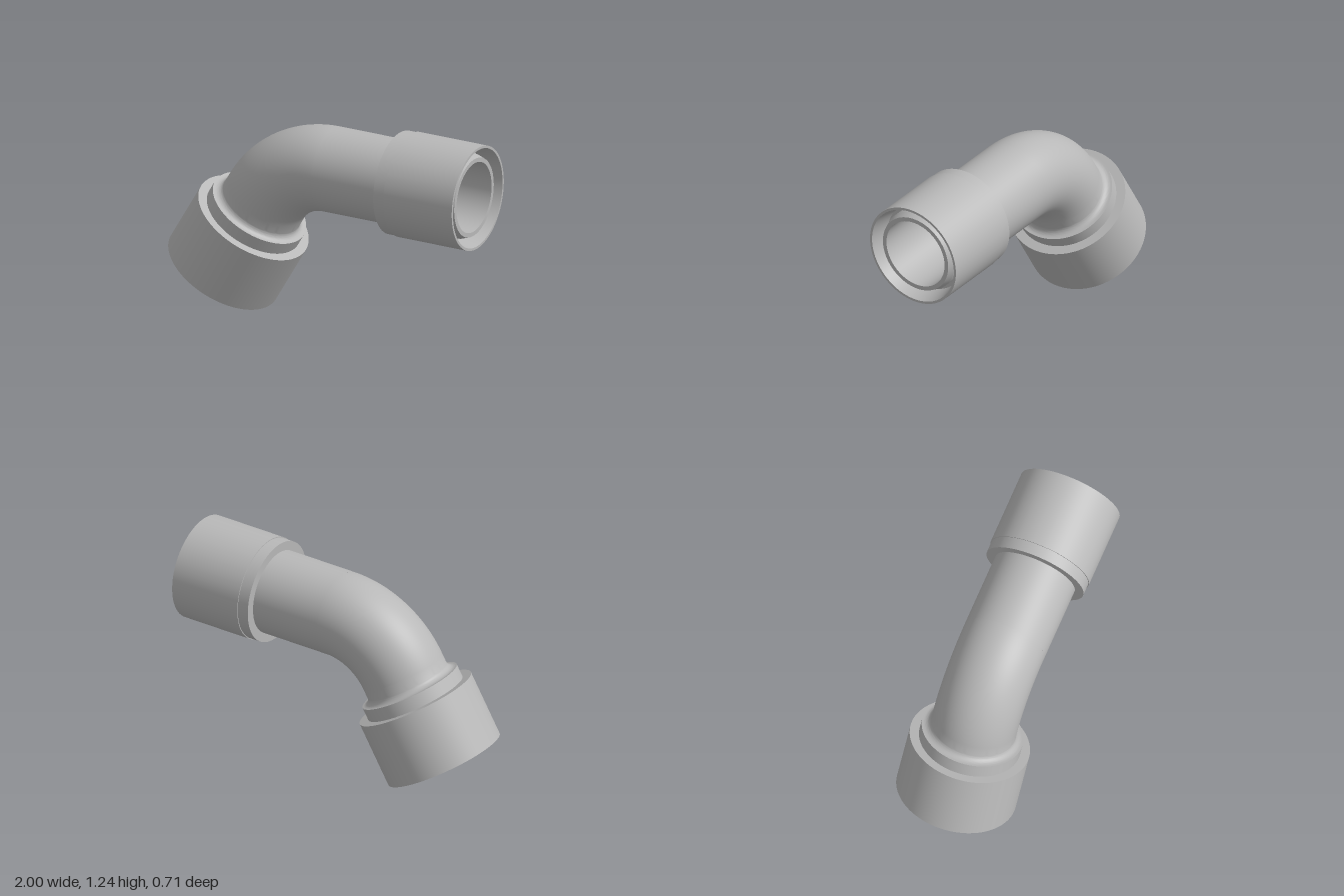
import * as THREE from 'three';
import { toCreasedNormals } from 'three/addons/utils/BufferGeometryUtils.js';

const PIPE = 0.252, BORE = 0.211; // pipe radii
const BEND = 0.5, ANGLE = Math.PI / 3; // bend radius and turn
const CX = 0.03, CY = 0.432; // bend centre

export function createModel() {
  const model = new THREE.Group();
  model.name = 'pipeElbow';
  const grey = new THREE.MeshStandardMaterial({ color: 0xb8b8b8, side: THREE.DoubleSide });
  grey.name = 'grey';

  const add = (parent, name, geometry) => {
    const mesh = new THREE.Mesh(geometry, grey);
    mesh.name = name;
    parent.add(mesh);
    return mesh;
  };
  // revolved profile of [radius, height] pairs, sharp at real edges
  const turned = (profile) => toCreasedNormals(
    new THREE.LatheGeometry(profile.map(([r, h]) => new THREE.Vector2(r, h)), 96), 0.3);

  // curved middle: outer skin and inner bore
  for (const [name, radius] of [['bendOuter', PIPE], ['bendBore', BORE]]) {
    const bend = add(model, name, new THREE.TorusGeometry(BEND, radius, 72, 48, ANGLE));
    bend.position.set(CX, CY, 0);
    bend.rotation.z = Math.PI / 2;
  }

  // horizontal arm, its local y runs along +x from the end of the bend
  const arm = new THREE.Group();
  arm.name = 'horizontalArm';
  arm.position.set(CX, CY + BEND, 0);
  arm.rotation.z = -Math.PI / 2;
  model.add(arm);
  add(arm, 'armPipe', turned([
    [PIPE, 0], [PIPE, 0.9], [0.237, 0.945], [BORE, 0.945], [BORE, 0],
  ]));
  // coupling sleeve with a stepped back edge and an open groove at the mouth
  add(arm, 'armSleeve', turned([
    [PIPE, 0.445], [0.307, 0.445], [0.307, 0.515], [0.312, 0.515],
    [0.312, 0.97], [0.297, 0.97], [0.273, 0.85], [PIPE, 0.85],
  ]));

  // lower arm, its local y runs from the open mouth up towards the bend
  const lower = new THREE.Group();
  lower.name = 'lowerArm';
  lower.position.set(-0.691, 0.183, 0);
  lower.rotation.z = -Math.PI / 6;
  model.add(lower);

  // concave fillet between the shoulder and the pipe
  const fillet = [];
  for (let i = 0; i <= 10; i++) {
    const a = (i / 10) * Math.PI / 2;
    fillet.push([PIPE + 0.04 * (1 - Math.sin(a)), 0.52 - 0.04 * Math.cos(a)]);
  }
  add(lower, 'socket', turned([
    [0.346, 0], [0.357, 0], [0.357, 0.4], [0.302, 0.4], [0.302, 0.48],
    ...fillet, [PIPE, 0.577],
  ]));
  add(lower, 'socketInside', turned([
    [BORE, 0.577], [BORE, 0.42], [0.26, 0.42], [0.26, 0.34], [0.335, 0.32], [0.346, 0],
  ]));
  return model;
}
